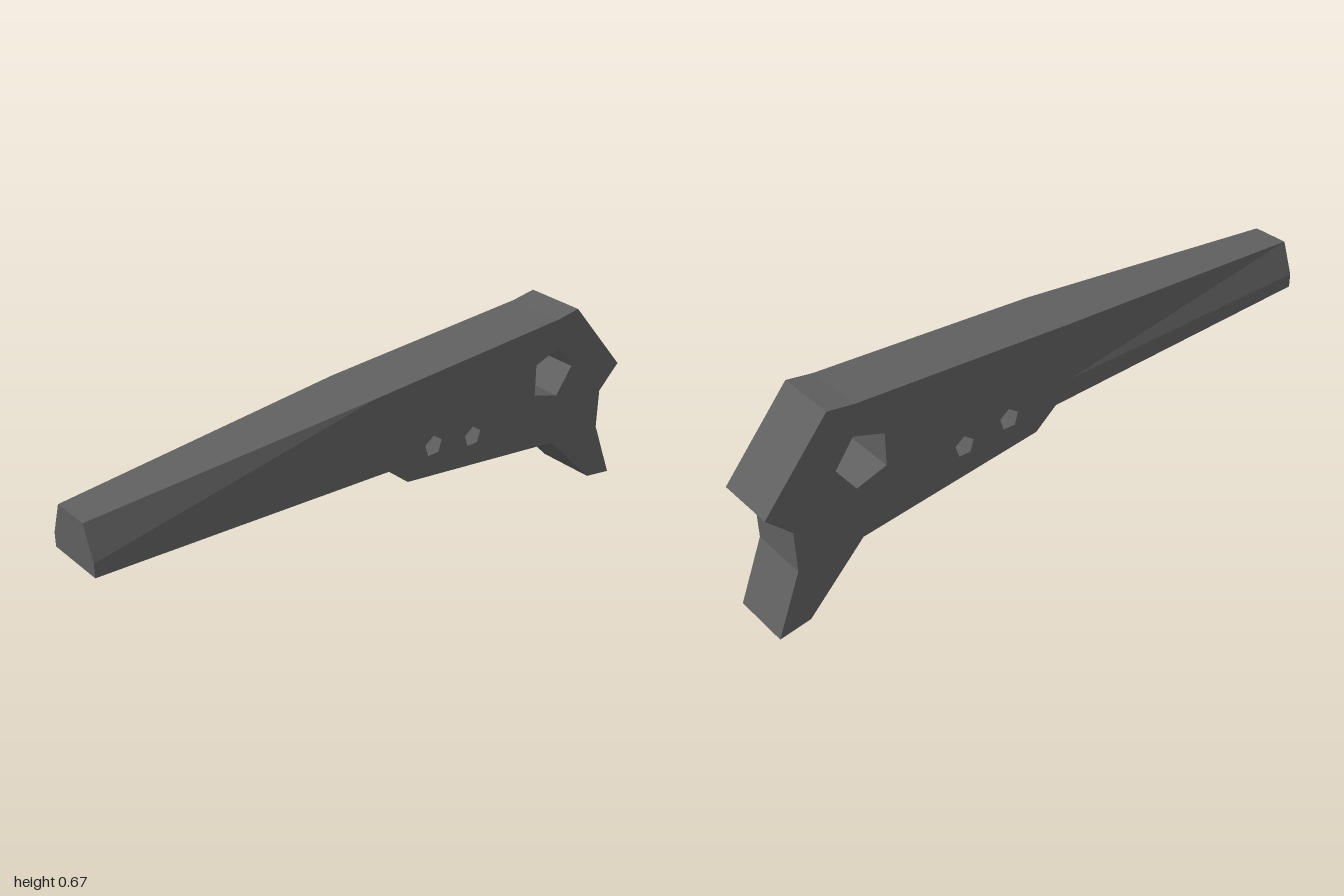
import * as THREE from 'three';

const HALF = 0.1; // half thickness of the plate

// Regular pentagon cut-out with its first corner at the given angle
function pentagon(cx, cy, r, start) {
  const pts = [];
  for (let i = 0; i < 5; i++) {
    const a = start + (i / 5) * Math.PI * 2;
    pts.push(new THREE.Vector2(cx + r * Math.cos(a), cy + r * Math.sin(a)));
  }
  return new THREE.Path(pts);
}

// Six-cornered neck section: upright lower sides, inclined upper sides
function section(x, bottom, kink, top, topHalf) {
  return [
    [x, bottom, HALF], [x, kink, HALF], [x, top, topHalf],
    [x, top, -topHalf], [x, kink, -HALF], [x, bottom, -HALF],
  ];
}

// Flat-faced skin between two sections, with a cap on the first
function loft(a, b) {
  const pos = [];
  const tri = (...corners) => corners.forEach((c) => pos.push(...c));
  const n = a.length;
  for (let i = 0; i < n; i++) {
    const j = (i + 1) % n;
    tri(a[i], b[i], b[j]);
    tri(a[i], b[j], a[j]);
  }
  for (let i = 1; i < n - 1; i++) tri(a[0], a[i], a[i + 1]);
  const g = new THREE.BufferGeometry();
  g.setAttribute('position', new THREE.Float32BufferAttribute(pos, 3));
  g.computeVertexNormals();
  return g;
}

export function createModel() {
  const group = new THREE.Group();
  group.name = 'bracketArm';
  const darkGrey = new THREE.MeshStandardMaterial({ color: 0x606060, flatShading: true });
  darkGrey.name = 'darkGrey';

  // Wide body with its hooked foot
  const outline = new THREE.Shape([
    [-0.05, 0.363], [0.005, 0.36], [0.08, 0.297], [0.703, 0.213],
    [0.893, 0.018], [0.995, 0], [0.917, 0.2], [0.92, 0.333],
    [1, 0.41], [0.787, 0.665], [0.7, 0.653], [-0.05, 0.62],
  ].map(([x, y]) => new THREE.Vector2(x, y)));

  // One large and two small pentagonal holes
  outline.holes.push(
    pentagon(0.685, 0.469, 0.09, 0),
    pentagon(0.182, 0.386, 0.035, Math.PI / 2),
    pentagon(0.345, 0.362, 0.034, Math.PI / 2),
  );
  const bodyGeometry = new THREE.ExtrudeGeometry(outline, { depth: 2 * HALF, bevelEnabled: false });
  bodyGeometry.translate(0, 0, -HALF);
  const body = new THREE.Mesh(bodyGeometry, darkGrey);
  body.name = 'body';
  group.add(body);

  // Long neck whose top edge narrows towards the tip
  const neck = new THREE.Mesh(
    loft(section(-1, 0.41, 0.455, 0.56, 0.062), section(-0.05, 0.363, 0.43, 0.62, HALF)),
    darkGrey,
  );
  neck.name = 'neck';
  group.add(neck);

  return group;
}
